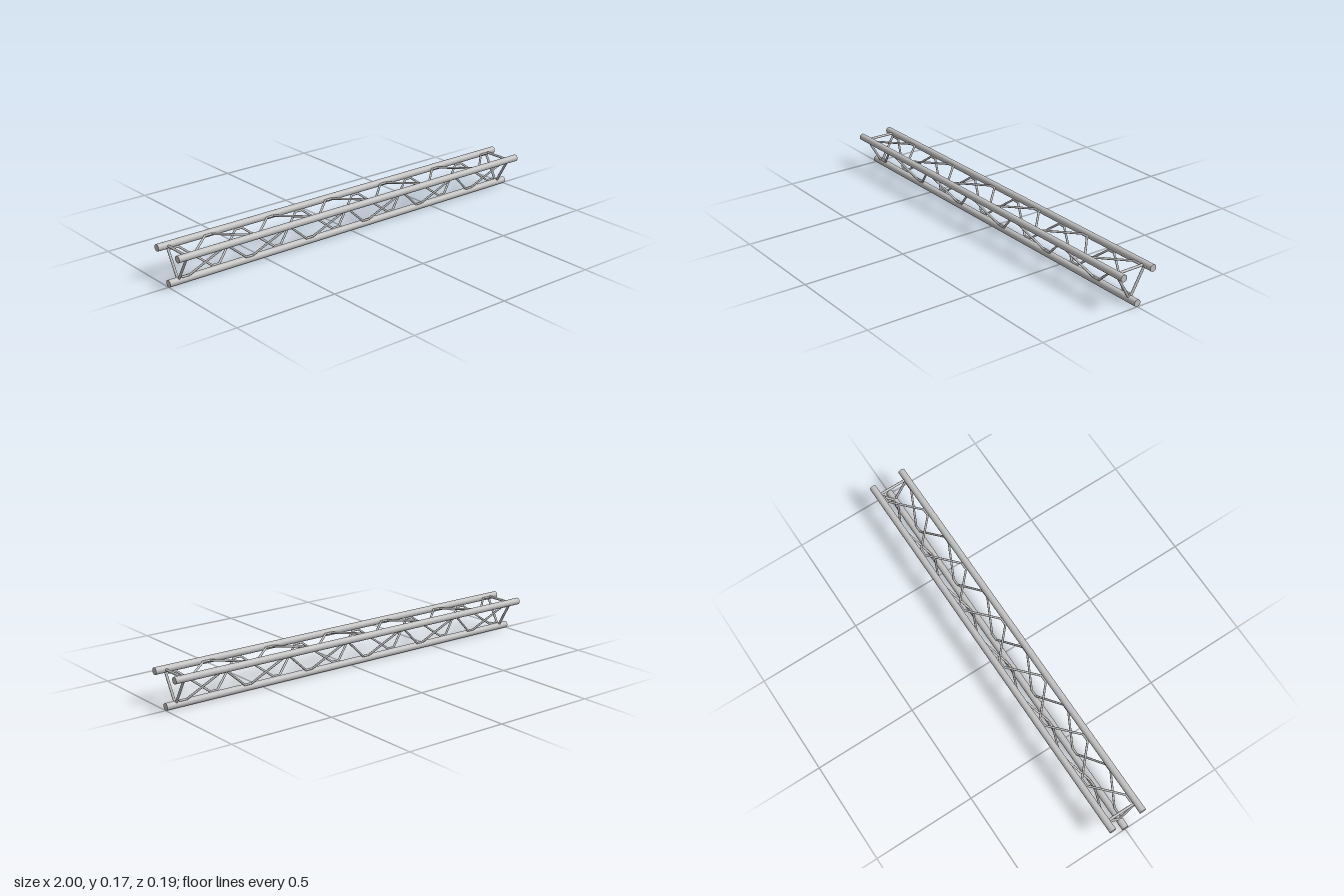
import * as THREE from 'three';
import { mergeGeometries } from 'three/addons/utils/BufferGeometryUtils.js';

const CHORD_R = 0.0165;   // main tubes
const FRAME_R = 0.006;    // end frame struts
const ROD_R = 0.005;      // zigzag lacing
const SIDE = 0.16;        // spacing between tube centres
const FRAME_X = 0.95;
const BAYS = 11, PITCH = 1 / 6, FLAT = 0.018;

// Lay a geometry built along +y between two points
function between(geometry, a, b) {
  const dir = b.clone().sub(a).normalize();
  const turn = new THREE.Quaternion().setFromUnitVectors(new THREE.Vector3(0, 1, 0), dir);
  geometry.applyQuaternion(turn);
  const mid = a.clone().add(b).multiplyScalar(0.5);
  return geometry.translate(mid.x, mid.y, mid.z);
}

const tube = (a, b, r, sides) =>
  between(new THREE.CylinderGeometry(r, r, a.distanceTo(b), sides), a, b);

// Round-ended rod, so consecutive pieces form smooth bends
const rod = (a, b, r) =>
  between(new THREE.CapsuleGeometry(r, a.distanceTo(b), 3, 10), a, b);

export function createModel() {
  const group = new THREE.Group();
  group.name = 'triangularTruss';
  const metal = new THREE.MeshStandardMaterial({ color: 0xc0c0c0 });
  metal.name = 'aluminium';

  const add = (name, geometry) => {
    const mesh = new THREE.Mesh(geometry, metal);
    mesh.name = name;
    group.add(mesh);
  };

  // Tube centres in the cross-section: bottom, top front, top back
  const topY = CHORD_R + SIDE * Math.sqrt(3) / 2;
  const corners = [
    { name: 'bottom', y: CHORD_R, z: 0 },
    { name: 'topFront', y: topY, z: SIDE / 2 },
    { name: 'topBack', y: topY, z: -SIDE / 2 },
  ];
  const faces = ['front', 'top', 'back'];
  const at = (c, x) => new THREE.Vector3(x, c.y, c.z);

  corners.forEach((c, i) => {
    const next = corners[(i + 1) % 3];

    // Main tube
    add(c.name + 'Tube', tube(at(c, -1), at(c, 1), CHORD_R, 24));

    // End frame struts
    for (const s of [-1, 1]) {
      add(faces[i] + (s > 0 ? 'LeftStrut' : 'RightStrut'),
        tube(at(c, s * FRAME_X), at(next, s * FRAME_X), FRAME_R, 12));
    }

    // Bent lacing rod zigzagging between the two tubes of this face
    const inset = (CHORD_R + 0.003) / SIDE;
    const path = [];
    for (let k = 0; k <= BAYS; k++) {
      const x = (k - BAYS / 2) * PITCH;
      const t = k % 2 ? 1 - inset : inset;
      for (const dx of [-FLAT, FLAT]) path.push(at(c, x + dx).lerp(at(next, x + dx), t));
    }
    const pieces = path.slice(1).map((p, j) => rod(path[j], p, ROD_R));
    add(faces[i] + 'Lacing', mergeGeometries(pieces));
  });

  return group;
}
